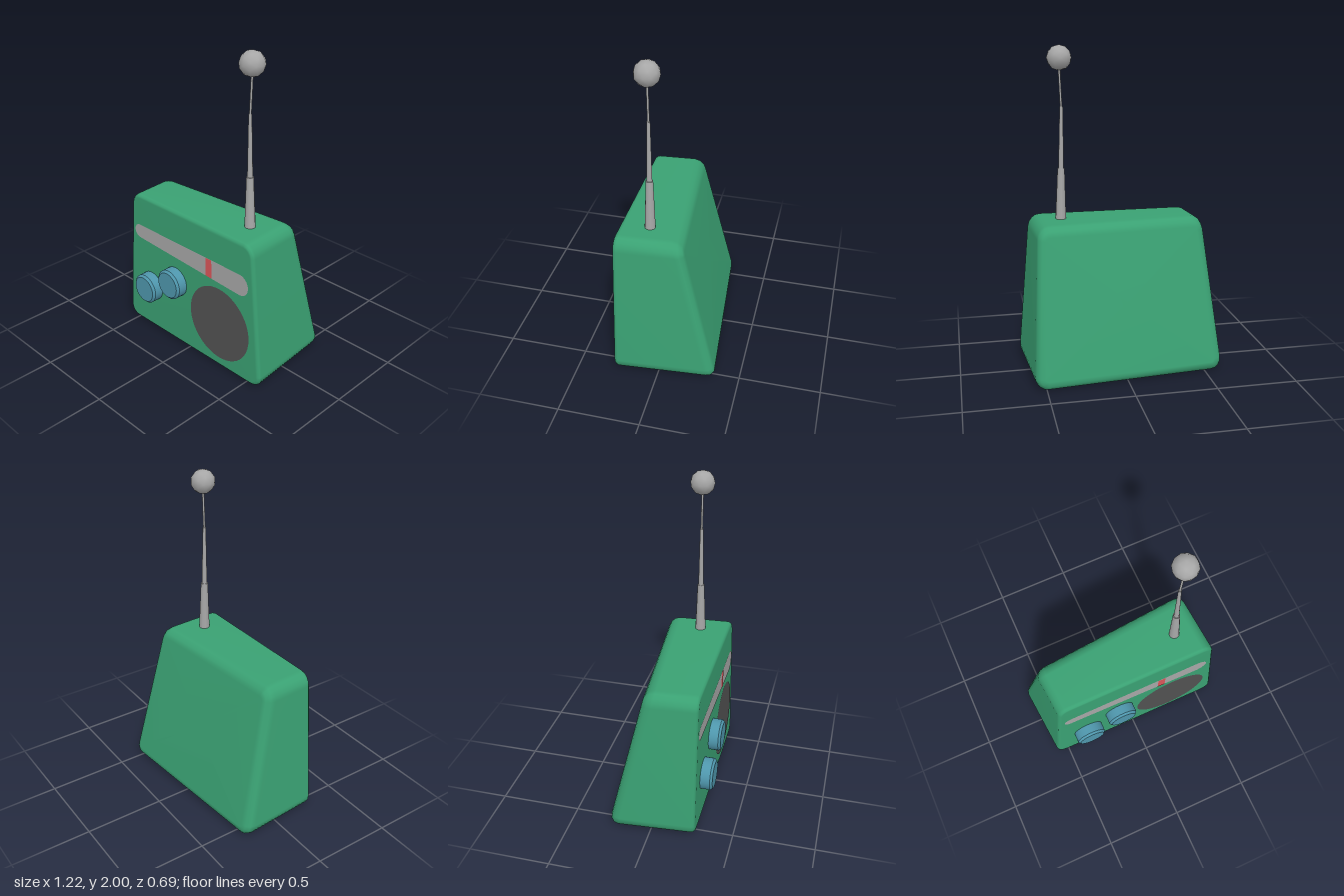
import * as THREE from 'three';

const FRONT = 0.275, W = 1.2, H = 0.945;
const lerp = THREE.MathUtils.lerp;

function material(name, color) {
  const m = new THREE.MeshStandardMaterial({ color });
  m.name = name;
  return m;
}

// Sloping, slightly twisted back plane
const backZ = (x, y) => -0.36 + 0.244 * y - 0.085 * (x - 0.5);

// Maps a point of a straight box section (u, v) onto the crooked case
function warp(u, v, atBack, offset) {
  const k = v / H + 0.5, y = k * H;
  const left = atBack ? lerp(-0.62, -0.528, k) : lerp(-0.585, -0.51, k);
  const right = atBack ? lerp(0.572, 0.513, k) : lerp(0.615, 0.533, k);
  const x = lerp(left, right, u / W + 0.5);
  return [x, y, atBack ? backZ(x, y) + offset : FRONT - offset];
}

// Rounded rectangle, counter-clockwise seen from the front
function section(inset, atBack, offset) {
  const radius = 0.08, steps = 4, pts = [];
  const cx = W / 2 - radius, cy = H / 2 - radius, r = radius - inset;
  [[1, 1], [-1, 1], [-1, -1], [1, -1]].forEach(([sx, sy], q) => {
    for (let i = 0; i <= steps; i++) {
      const a = (q + i / steps) * Math.PI / 2;
      pts.push(warp(sx * cx + r * Math.cos(a), sy * cy + r * Math.sin(a), atBack, offset));
    }
  });
  return pts;
}

function caseGeometry() {
  const rings = [], steps = 3, index = [];
  const bevel = (size, i) => {
    const a = i / steps * Math.PI / 2;
    return [size * (1 - Math.sin(a)), size * (1 - Math.cos(a))];
  };
  for (let i = 0; i <= steps; i++) {
    const [inset, offset] = bevel(0.026, i);
    rings.push(section(inset, false, offset));
  }
  for (let i = steps; i >= 0; i--) {
    const [inset, offset] = bevel(0.06, i);
    rings.push(section(inset, true, offset));
  }
  const n = rings[0].length, pos = rings.flat();
  for (let i = 0; i < rings.length - 1; i++) {
    for (let j = 0; j < n; j++) {
      const a = i * n + j, b = i * n + (j + 1) % n;
      index.push(a, a + n, b, b, a + n, b + n);
    }
  }
  // Front and back panels
  const last = (rings.length - 1) * n, c = pos.length;
  pos.push(warp(0, 0, false, 0), warp(0, 0, true, 0));
  for (let j = 0; j < n; j++) {
    const k = (j + 1) % n;
    index.push(c, j, k, c + 1, last + k, last + j);
  }
  const g = new THREE.BufferGeometry();
  g.setAttribute('position', new THREE.Float32BufferAttribute(pos.flat(), 3));
  g.setIndex(index);
  g.computeVertexNormals();
  return g;
}

export function createModel() {
  const model = new THREE.Group();
  model.name = 'radio';
  const green = material('green case', 0x3aa173);
  const grey = material('light grey', 0xa8a8a8);
  const dark = material('dark grey', 0x525252);
  const blue = material('blue', 0x4f97ad);
  const red = material('red', 0xdc565a);

  function add(name, geometry, mat, x = 0, y = 0, z = 0, parent = model) {
    const mesh = new THREE.Mesh(geometry, mat);
    mesh.name = name;
    mesh.position.set(x, y, z);
    parent.add(mesh);
    return mesh;
  }

  add('case', caseGeometry(), green);

  // Tuning strip, wider at the right end
  const strip = new THREE.Shape();
  strip.absarc(0.441, 0.667, 0.069, -Math.PI / 2, Math.PI / 2, false);
  strip.absarc(-0.443, 0.685, 0.046, Math.PI / 2, Math.PI * 1.5, false);
  strip.closePath();
  add('tuningStrip', new THREE.ShapeGeometry(strip, 12), grey, 0, 0, FRONT + 0.002);

  // Tuning needle
  const needle = new THREE.Shape([[0.163, 0.613], [0.213, 0.61], [0.213, 0.735], [0.163, 0.735]]
    .map(([x, y]) => new THREE.Vector2(x, y)));
  add('tuningNeedle', new THREE.ShapeGeometry(needle), red, 0, 0, FRONT + 0.004);

  // Speaker
  add('speaker', new THREE.CircleGeometry(0.248, 48), dark, 0.274, 0.316, FRONT + 0.002);

  // Knobs with a bevelled rim
  const parts = [
    new THREE.CylinderGeometry(0.098, 0.098, 0.06, 32, 1, true),
    new THREE.CylinderGeometry(0.084, 0.098, 0.014, 32),
  ];
  [[-0.341, 0.319], [-0.11, 0.451]].forEach(([x, y], i) => {
    const knob = new THREE.Group();
    knob.name = i ? 'upperKnob' : 'lowerKnob';
    knob.position.set(x, y, FRONT);
    knob.rotation.x = Math.PI / 2;
    add('knobBody', parts[0], blue, 0, 0.03, 0, knob);
    add('knobRim', parts[1], blue, 0, 0.067, 0, knob);
    model.add(knob);
  });

  // Telescopic antenna, each section a little out of line
  const antenna = new THREE.Group();
  antenna.name = 'antenna';
  model.add(antenna);
  const sections = [
    [0.348, 0.93, 0.341, 1.26, 0.034, 0.022],
    [0.341, 1.25, 0.334, 1.635, 0.017, 0.010],
    [0.334, 1.625, 0.344, 1.88, 0.007, 0.007],
  ];
  sections.forEach(([x0, y0, x1, y1, r0, r1], i) => {
    const dir = new THREE.Vector3(x1 - x0, y1 - y0, 0);
    const g = new THREE.CylinderGeometry(r1, r0, dir.length(), 10);
    const rod = add('antennaSection' + (i + 1), g, grey, (x0 + x1) / 2, (y0 + y1) / 2, 0.093, antenna);
    rod.quaternion.setFromUnitVectors(new THREE.Vector3(0, 1, 0), dir.normalize());
  });
  add('antennaBall', new THREE.IcosahedronGeometry(0.076, 1), grey, 0.343, 1.924, 0.093, antenna);

  return model;
}
